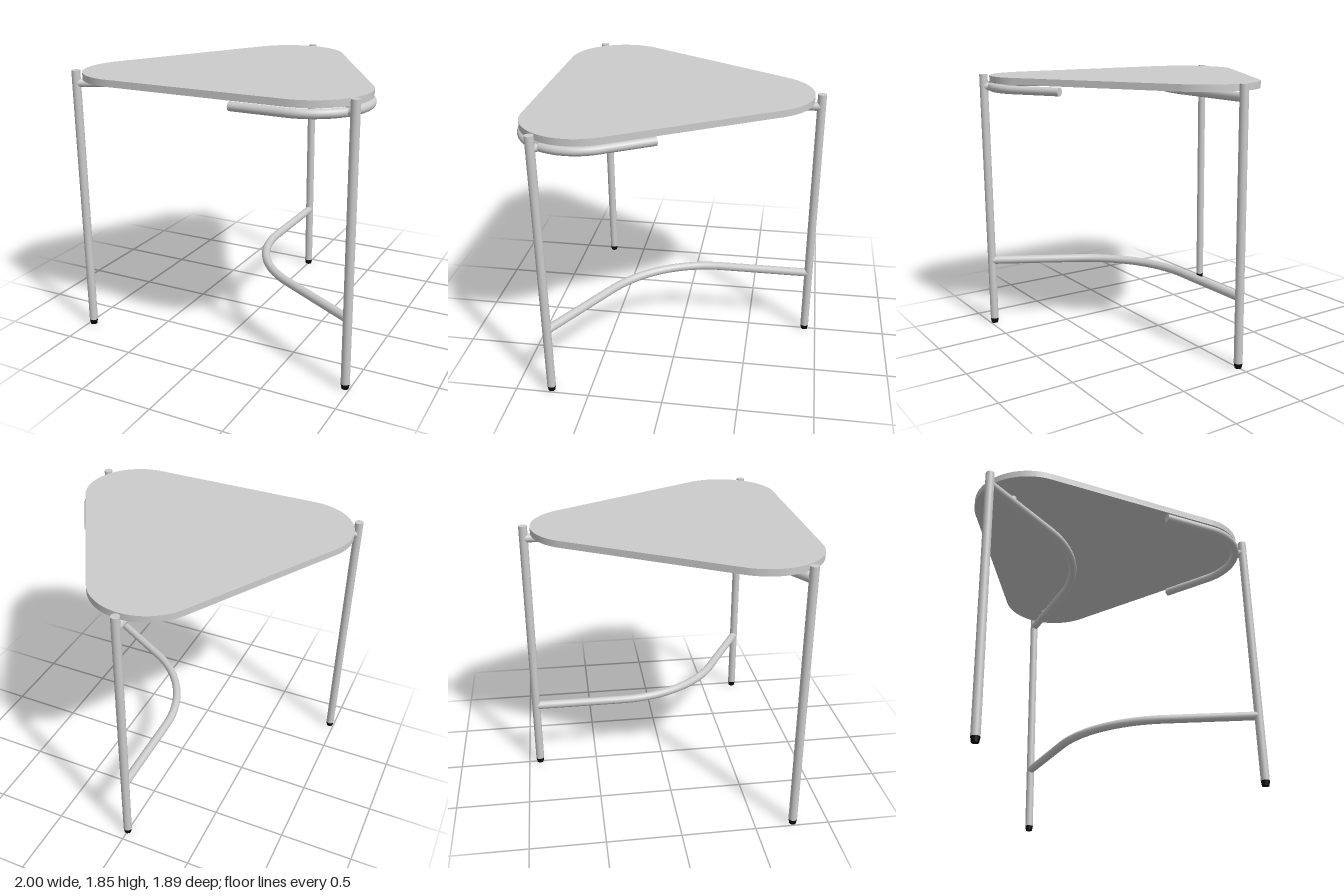
import * as THREE from 'three';
import { toCreasedNormals, mergeGeometries } from 'three/addons/utils/BufferGeometryUtils.js';

const TUBE_R = 0.029;
const LEG_TOP = 1.847;
const RAIL_Y = 1.762;
const TOP_Y = 1.843, TOP_T = 0.045;
const HUB_Z = 0.2; // plan centre of the leg triangle
const LEGS = { left: [0.97, 0.76], right: [-0.97, 0.76], back: [0, -0.92] };
const CORNER = { x: 0.605, z: 0.545, r: 0.38 };

const grey = new THREE.MeshStandardMaterial({ color: 0xcccccc });
const black = new THREE.MeshStandardMaterial({ color: 0x0a0a0a });

// A flat plan path (x, z) lifted to a given height
class PlanCurve extends THREE.Curve {
  constructor(path, y) {
    super();
    this.path = path;
    this.y = y;
  }
  getPoint(t, target = new THREE.Vector3()) {
    const p = this.path.getPoint(t);
    return target.set(p.x, this.y, p.y);
  }
}

// Round tube along a plan path, closed by discs at both ends
function tube(name, path, y) {
  const curve = new PlanCurve(path, y);
  const parts = [new THREE.TubeGeometry(curve, 96, TUBE_R, 20, false)];
  for (const t of [0, 1]) {
    const cap = new THREE.CircleGeometry(TUBE_R, 20);
    const dir = curve.getTangent(t).multiplyScalar(t ? 1 : -1);
    cap.applyQuaternion(new THREE.Quaternion().setFromUnitVectors(new THREE.Vector3(0, 0, 1), dir));
    const p = curve.getPoint(t);
    cap.translate(p.x, p.y, p.z);
    parts.push(cap);
  }
  const mesh = new THREE.Mesh(mergeGeometries(parts), grey);
  mesh.name = name;
  return mesh;
}

function cylinder(name, rTop, rBottom, y0, y1, [x, z], material = grey) {
  const mesh = new THREE.Mesh(new THREE.CylinderGeometry(rTop, rBottom, y1 - y0, 24), material);
  mesh.position.set(x, (y0 + y1) / 2, z);
  mesh.name = name;
  return mesh;
}

// Back leg to a front leg, swept through the hub with a wide bend
function bentRail(name, side, y) {
  const R = 0.85;
  const path = new THREE.Path();
  path.moveTo(...LEGS.back);
  const cz = HUB_Z - R * Math.tan(Math.PI / 6);
  path.lineTo(0, cz);
  if (side > 0) path.absarc(R, cz, R, Math.PI, Math.PI * 2 / 3, true);
  else path.absarc(-R, cz, R, 0, Math.PI / 3, false);
  path.lineTo(side * LEGS.left[0], LEGS.left[1]);
  return tube(name, path, y);
}

export function createModel() {
  const group = new THREE.Group();
  group.name = 'triangularTable';
  const deg = Math.PI / 180;

  // Rounded triangular top
  const outline = new THREE.Shape();
  outline.absarc(CORNER.x, CORNER.z, CORNER.r, -30 * deg, 90 * deg, false);
  outline.absarc(-CORNER.x, CORNER.z, CORNER.r, 90 * deg, 210 * deg, false);
  outline.absarc(0, -0.495, CORNER.r, 210 * deg, 330 * deg, false);
  outline.closePath();
  const slab = new THREE.ExtrudeGeometry(outline, { depth: TOP_T, bevelEnabled: false, curveSegments: 40 });
  slab.rotateX(Math.PI / 2);
  const top = new THREE.Mesh(toCreasedNormals(slab, 0.5), grey);
  top.position.y = TOP_Y;
  top.name = 'tableTop';
  group.add(top);

  // Legs with tapered black feet
  for (const [side, at] of Object.entries(LEGS)) {
    group.add(cylinder(side + 'Leg', TUBE_R, TUBE_R, 0.035, LEG_TOP, at));
    group.add(cylinder(side + 'Foot', TUBE_R, 0.023, 0, 0.035, at, black));
  }

  // Bent rails: one under the top, one low down as a footrest
  group.add(bentRail('upperRail', -1, RAIL_Y));
  group.add(bentRail('footRail', 1, 0.485));

  // Rail hugging the left corner of the top
  const r = 0.365, straight = 0.355;
  const hug = new THREE.Path();
  const a = -30 * deg;
  hug.moveTo(CORNER.x + r * Math.cos(a) - straight * 0.5, CORNER.z + r * Math.sin(a) - straight * 0.866);
  hug.lineTo(CORNER.x + r * Math.cos(a), CORNER.z + r * Math.sin(a));
  hug.absarc(CORNER.x, CORNER.z, r, a, 90 * deg, false);
  hug.lineTo(CORNER.x - straight, CORNER.z + r);
  group.add(tube('cornerRail', hug, RAIL_Y));

  // Short stub joining the corner rail to its leg
  const joint = [CORNER.x + r * Math.cos(-a), CORNER.z + r * Math.sin(-a)];
  const stub = new THREE.Path();
  stub.moveTo(...joint);
  stub.lineTo(...LEGS.left);
  group.add(tube('cornerStub', stub, RAIL_Y));

  // Small round spacers between rails and top
  for (const at of [[-0.77, 0.645], [0, -0.69], joint]) {
    group.add(cylinder('spacer', 0.024, 0.024, RAIL_Y, TOP_Y - TOP_T + 0.002, at));
  }
  return group;
}
